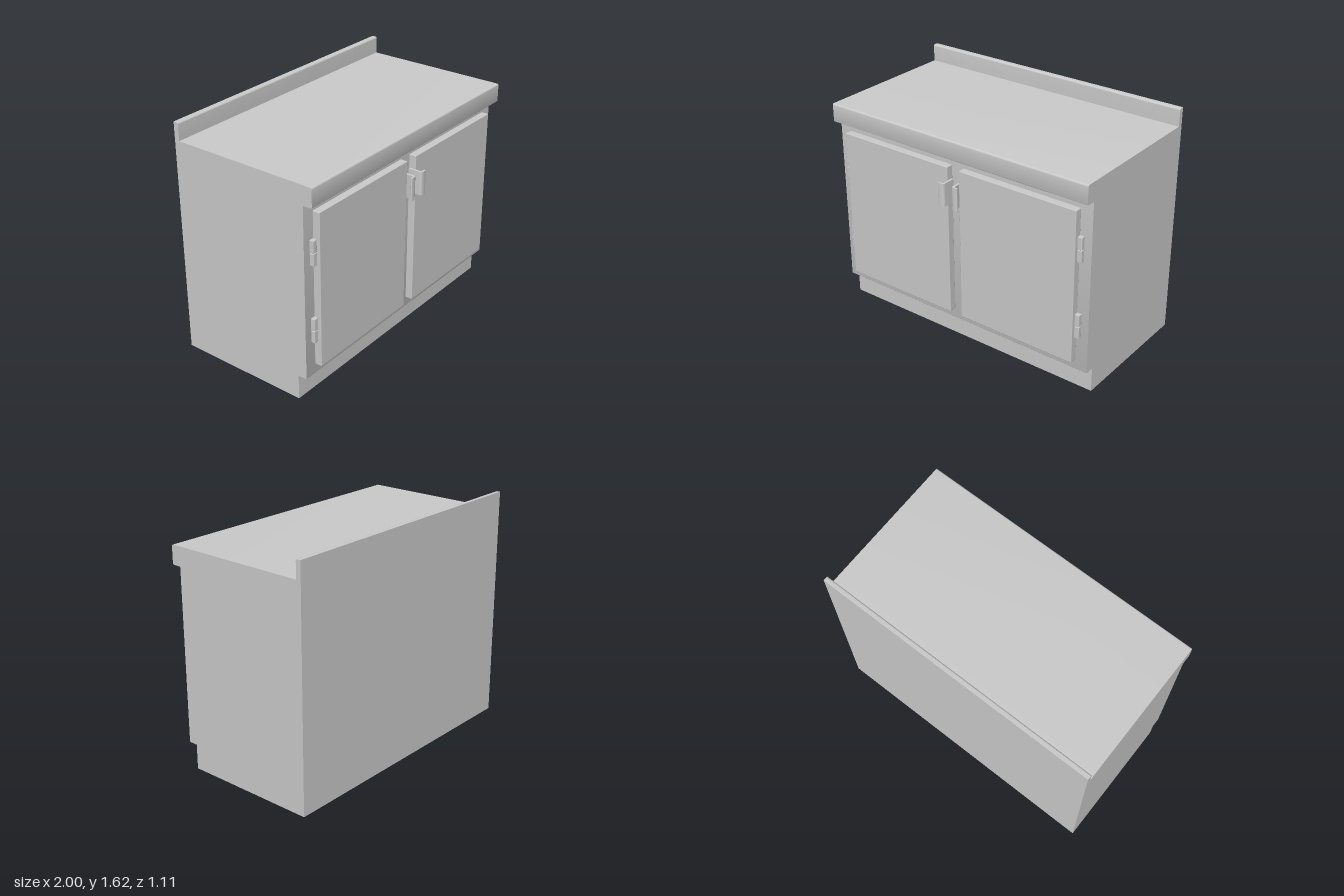
import * as THREE from 'three';
import { RoundedBoxGeometry } from 'three/addons/geometries/RoundedBoxGeometry.js';
import { toCreasedNormals } from 'three/addons/utils/BufferGeometryUtils.js';

const material = new THREE.MeshStandardMaterial({ color: 0xcccccc });

// Closed outline from [x, y, cornerRadius] points
function roundedOutline(points) {
  const shape = new THREE.Shape();
  const n = points.length;
  points.forEach(([x, y, r = 0], i) => {
    const corner = new THREE.Vector2(x, y);
    const toward = ([px, py]) =>
      new THREE.Vector2(px, py).sub(corner).setLength(r).add(corner);
    const a = toward(points[(i + n - 1) % n]);
    const b = toward(points[(i + 1) % n]);
    if (i === 0) shape.moveTo(a.x, a.y);
    else shape.lineTo(a.x, a.y);
    if (r > 0) shape.quadraticCurveTo(x, y, b.x, b.y);
  });
  shape.closePath();
  return shape;
}

function extrude(points, depth) {
  return new THREE.ExtrudeGeometry(roundedOutline(points), {
    depth, bevelEnabled: false, curveSegments: 5,
  });
}

function addMesh(parent, name, geometry) {
  const mesh = new THREE.Mesh(geometry, material);
  mesh.name = name;
  parent.add(mesh);
}

// Slightly softened box given by its limits
function addBox(parent, name, [x0, x1], [y0, y1], [z0, z1], radius) {
  const geometry = new RoundedBoxGeometry(x1 - x0, y1 - y0, z1 - z0, 2, radius);
  geometry.translate((x0 + x1) / 2, (y0 + y1) / 2, (z0 + z1) / 2);
  addMesh(parent, name, geometry);
}

export function createModel() {
  const model = new THREE.Group();
  model.name = 'baseCabinet';

  // Side profile (z, y): toe kick, face, worktop and backsplash in one run
  const body = extrude([
    [-0.555, 0],
    [0.383, 0],
    [0.383, 0.172],
    [0.447, 0.172, 0.006],
    [0.447, 1.37],
    [0.513, 1.37, 0.01],
    [0.513, 1.5, 0.012],
    [-0.52, 1.5],
    [-0.52, 1.62, 0.012],
    [-0.555, 1.62],
  ], 2);
  body.rotateY(-Math.PI / 2).translate(1, 0, 0);
  addMesh(model, 'cabinetBody', toCreasedNormals(body, 0.6));

  for (const side of [-1, 1]) {
    const label = side > 0 ? 'left' : 'right';
    const span = (a, b) => (side > 0 ? [a, b] : [-b, -a]);

    // Door panel
    addBox(model, label + 'Door', span(0.046, 0.915), [0.243, 1.305], [0.445, 0.497], 0.004);

    // Two hinges, each made of two knuckles
    for (const y of [0.504, 1.041]) {
      const hinge = new THREE.Group();
      hinge.name = label + (y > 1 ? 'UpperHinge' : 'LowerHinge');
      for (const [y0, y1] of [[y - 0.086, y - 0.001], [y + 0.001, y + 0.086]]) {
        addBox(hinge, 'hingeKnuckle', span(0.914, 0.948), [y0, y1], [0.445, 0.475], 0.004);
      }
      model.add(hinge);
    }

    // Bent pull: a stem on the door edge curving out into a flange
    const pull = extrude([
      [side * 0.03, 0.455],
      [side * 0.046, 0.455],
      [side * 0.046, 0.541, 0.008],
      [side * 0.076, 0.541, 0.004],
      [side * 0.076, 0.555, 0.004],
      [side * 0.03, 0.555, 0.018],
    ], 0.162);
    pull.rotateX(Math.PI / 2).translate(0, 1.213, 0);
    addMesh(model, label + 'Handle', toCreasedNormals(pull, 0.6));
  }

  return model;
}
